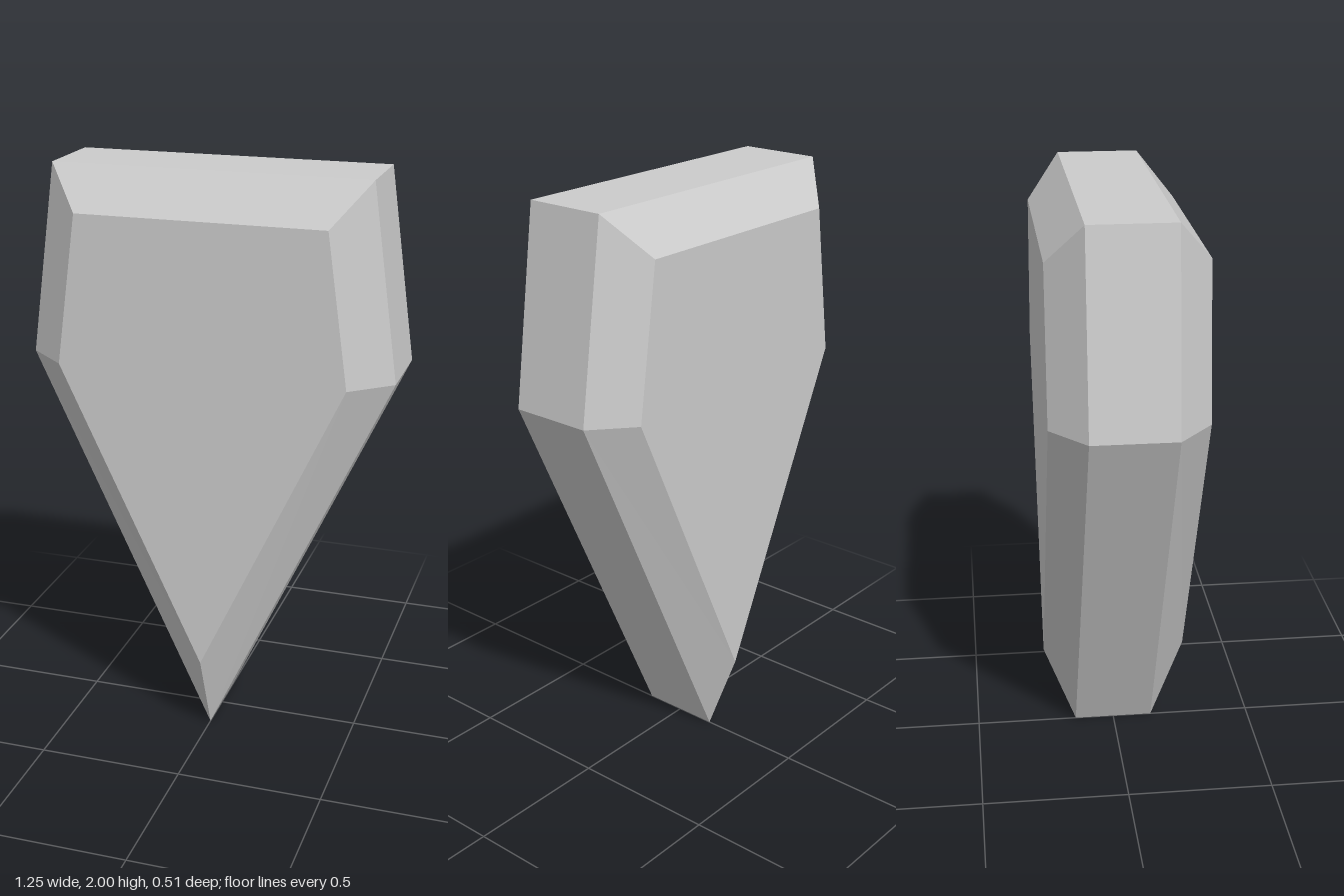
import * as THREE from 'three';

// Five-sided outlines, counter-clockwise from the bottom tip
const outline = (tipY, sideX, sideY, topX, topY) => [
  [0, tipY], [sideX, sideY], [topX, topY], [-topX, topY], [-sideX, sideY],
];
const rim = outline(0, 0.625, 1.35, 0.535, 2);
const face = outline(0.3, 0.49, 1.35, 0.419, 1.86);

// Skins a stack of outlines (back to front) and closes both ends
function loft(sections) {
  const positions = [];
  const index = [];
  const n = sections[0].points.length;
  for (const { points, z } of sections) {
    for (const [x, y] of points) positions.push(x, y, z);
  }
  for (let s = 0; s < sections.length - 1; s++) {
    for (let i = 0; i < n; i++) {
      const a = s * n + i;
      const b = s * n + (i + 1) % n;
      index.push(a, b, b + n, a, b + n, a + n);
    }
  }
  const front = (sections.length - 1) * n;
  for (let i = 1; i < n - 1; i++) {
    index.push(0, i + 1, i); // back face
    index.push(front, front + i, front + i + 1); // front face
  }
  const geometry = new THREE.BufferGeometry();
  geometry.setAttribute('position', new THREE.Float32BufferAttribute(positions, 3));
  geometry.setIndex(index);
  const flat = geometry.toNonIndexed();
  flat.computeVertexNormals();
  return flat;
}

export function createModel() {
  const group = new THREE.Group();
  group.name = 'gemstone';

  // Straight girdle with a bevel to the flat face on each side
  const material = new THREE.MeshStandardMaterial({ color: 0xcccccc, flatShading: true });
  const gem = new THREE.Mesh(loft([
    { points: face, z: -0.255 },
    { points: rim, z: -0.14 },
    { points: rim, z: 0.14 },
    { points: face, z: 0.255 },
  ]), material);
  gem.name = 'bevelledShard';
  group.add(gem);
  return group;
}
